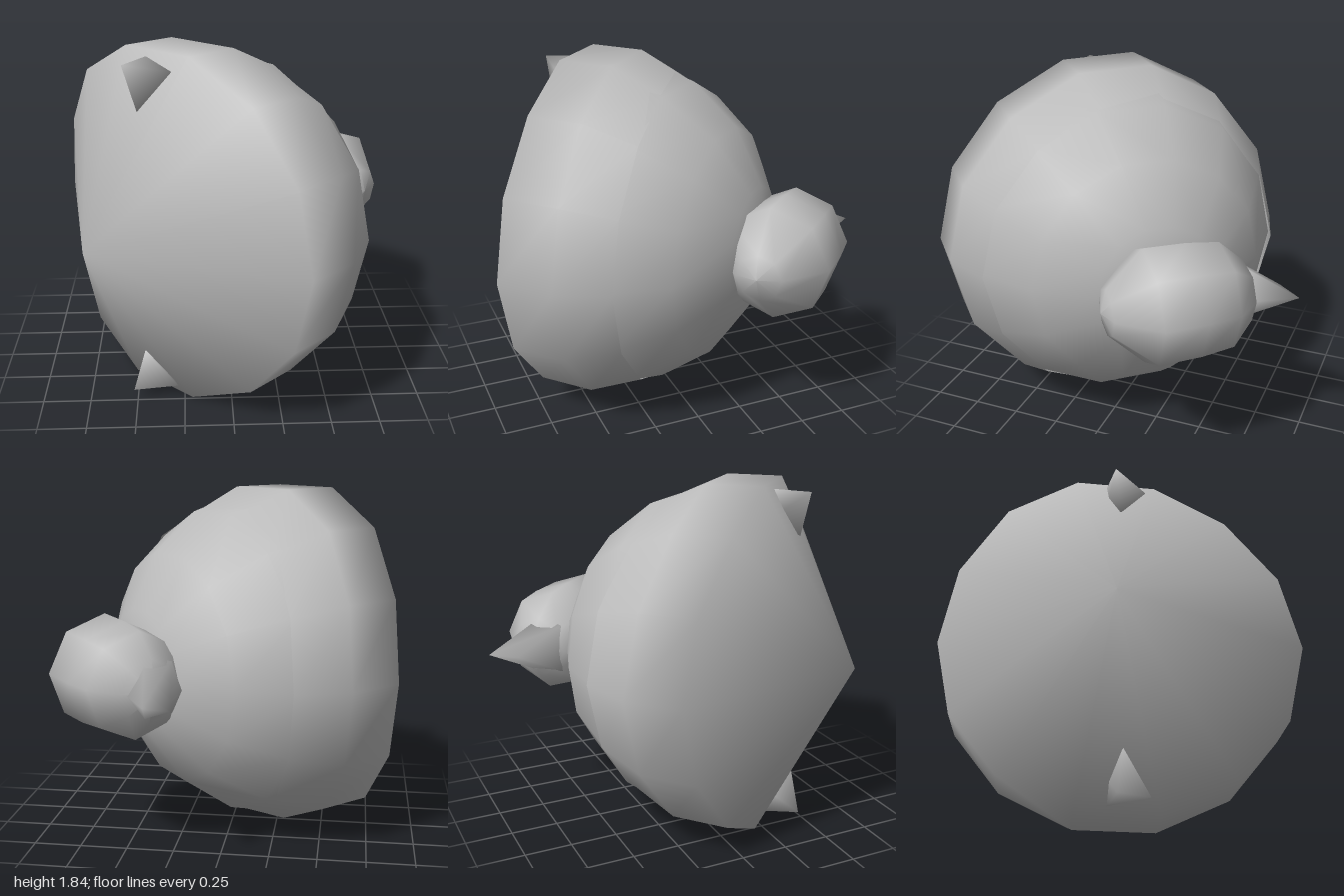
import * as THREE from 'three';
import { mergeVertices } from 'three/addons/utils/BufferGeometryUtils.js';
import { ConvexGeometry } from 'three/addons/geometries/ConvexGeometry.js';

const MID = 0.928; // height of the mirror plane
const SIDES = 14;

// Body frame: a = along the nose axis, r = sideways, h = height above the mirror plane
const place = (a, r, h) => new THREE.Vector3(-0.755 * a + 0.655 * r, MID + h, 0.655 * a + 0.755 * r);

function smooth(geometry) {
  const g = mergeVertices(geometry);
  g.computeVertexNormals();
  return g;
}

// Skin rings [a, radius, sideways offset], listed from the nose towards the tail;
// bow says how far the rings lean forward at the top and bottom
function loft(stations, bow) {
  const pos = [], index = [];
  stations.forEach(([a, R, c]) => {
    for (let j = 0; j < SIDES; j++) {
      const t = (j / SIDES) * Math.PI * 2;
      const s2 = Math.sin(t) ** 2 * bow;
      const rho = R * Math.cos(t);
      const lean = s2 * (0.11 - 0.12 * rho) * R;
      const p = place(a + lean, c + rho - 0.03 * s2 * R, R * Math.sin(t) * (1 + 0.012 * s2));
      pos.push(p.x, p.y, p.z);
    }
  });
  for (let i = 0; i < stations.length - 1; i++) {
    for (let j = 0; j < SIDES; j++) {
      const k = (j + 1) % SIDES, p = i * SIDES, q = p + SIDES;
      index.push(q + j, q + k, p + j, p + j, q + k, p + k);
    }
  }
  const g = new THREE.BufferGeometry();
  g.setAttribute('position', new THREE.Float32BufferAttribute(pos, 3));
  g.setIndex(index);
  return smooth(g);
}

// Smooth-shaded convex solid through points [x, height above the mirror plane, z]
function solid(points) {
  const g = new ConvexGeometry(points.map(([x, h, z]) => new THREE.Vector3(x, MID + h, z)));
  g.deleteAttribute('normal');
  return smooth(g);
}

export function createModel() {
  const group = new THREE.Group();
  const grey = new THREE.MeshStandardMaterial({ color: 0xbbbbbb, side: THREE.DoubleSide });
  grey.name = 'grey';
  const add = (name, geometry) => {
    const mesh = new THREE.Mesh(geometry, grey);
    mesh.name = name;
    group.add(mesh);
    return mesh;
  };

  // Front shell: pointed nose, widest ring, tapering back to an open rim
  add('frontShell', loft([
    [0.97, 0, 0.005],
    [0.4, 0.935, 0.05],
    [0.1, 0.932, 0.045],
    [-0.16, 0.81, 0.045],
  ], 1));

  // Rounded rear body emerging from the shell
  const rear = [];
  for (let i = 4; i >= 0; i--) {
    const t = (i * 21 * Math.PI) / 180;
    rear.push([0.31 - 0.92 * Math.cos(t), 0.915 * Math.sin(t), 0.04]);
  }
  add('rearBody', loft(rear, 0));

  // Rounded head, turned about the sideways axis
  const profile = [
    [0, -0.4], [0.16, -0.34], [0.275, -0.21], [0.295, -0.04], [0.3, 0.18], [0.12, 0.365], [0, 0.395],
  ].map(([x, y]) => new THREE.Vector2(x, y));
  const head = add('head', new THREE.LatheGeometry(profile, 8));
  head.position.copy(place(-0.7, 0, 0));
  head.quaternion.setFromUnitVectors(
    new THREE.Vector3(0, 1, 0), new THREE.Vector3(0.655, 0, 0.755).normalize());

  // Wedge-shaped beak ending in a level edge
  add('beak', solid([
    [0.28, 0, -0.995], [0.175, 0, -0.87], [0.16, 0, -0.67], [0.4, 0, -0.8],
    [0.34, 0.16, -0.68], [0.34, -0.16, -0.68], [0.22, 0.13, -0.61], [0.22, -0.13, -0.61],
  ]));

  // Small pointed fins, mirrored above and below and sunk into the shell
  for (const s of [1, -1]) {
    add(s > 0 ? 'upperFin' : 'lowerFin', solid([
      [-0.52, 0.88, 0.47], [-0.285, 0.85, 0.485], [-0.455, 0.65, 0.455],
      [-0.41, 0.89, 0.32], [-0.4, 0.74, 0.3],
    ].map(([x, h, z]) => [x, s * h, z])));
  }
  return group;
}
